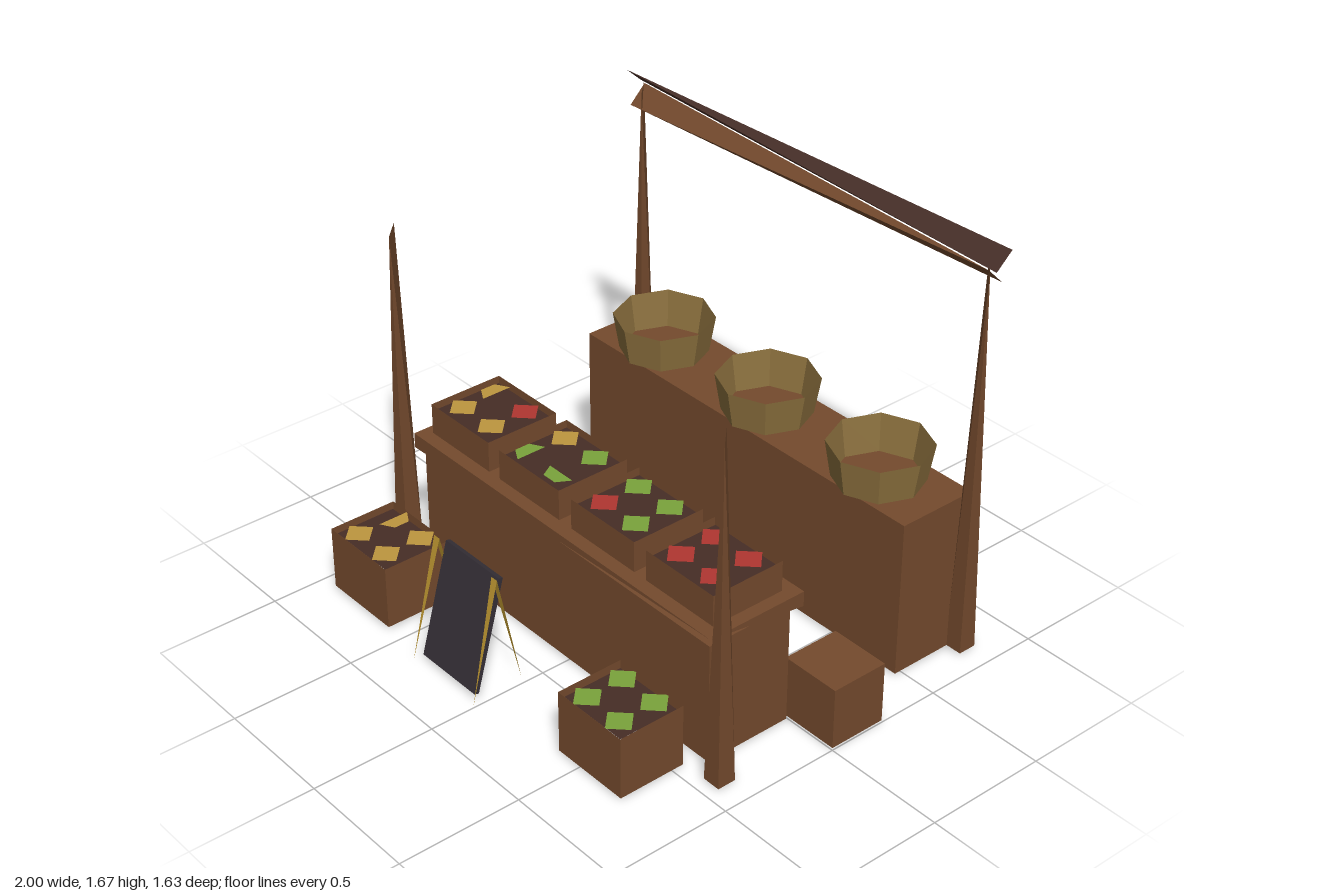
import * as THREE from 'three';
import { ConvexGeometry } from 'three/addons/geometries/ConvexGeometry.js';

const material = (name, color, side = THREE.DoubleSide) =>
  new THREE.MeshStandardMaterial({ name, color, side, flatShading: true });

export function createModel() {
  const wood = material('wood brown', 0x744a2d);
  const darkWood = material('dark wood', 0x462d26);
  const wicker = material('wicker', 0x8a6f3d);
  const red = material('red fruit', 0xb03631);
  const green = material('green fruit', 0x7aa33b);
  const yellow = material('yellow fruit', 0xbd963e);
  const slate = material('slate', 0x352f36);
  const gold = material('gold frame', 0xb8922f);

  const model = new THREE.Group();
  model.name = 'marketStall';

  function add(name, geometry, mat, x = 0, y = 0, z = 0, parent = model) {
    const mesh = new THREE.Mesh(geometry, mat);
    mesh.name = name;
    mesh.position.set(x, y, z);
    parent.add(mesh);
    return mesh;
  }
  const hull = (points) => new ConvexGeometry(points.map((p) => new THREE.Vector3(...p)));

  // Bottomless box given by its limits, with or without a lid
  function shell(name, x0, x1, y0, y1, z0, z1, lid, parent = model) {
    const g = new THREE.BoxGeometry(x1 - x0, y1 - y0, z1 - z0);
    const index = Array.from(g.index.array);
    const faces = lid ? [0, 1, 2, 4, 5] : [0, 1, 4, 5];
    g.setIndex(faces.flatMap((f) => index.slice(f * 6, f * 6 + 6)));
    g.clearGroups();
    return add(name, g, wood, (x0 + x1) / 2, (y0 + y1) / 2, (z0 + z1) / 2, parent);
  }

  // Posts: square foot narrowing to a diagonal ridge
  function post(name, x, z, h) {
    const r = 0.038;
    add(name, hull([
      [-r, 0, -r], [r, 0, -r], [r, 0, r], [-r, 0, r], [-r, h, -r], [r, h, r],
    ]), wood, x, 0.01, z);
  }
  for (const [side, x] of [['right', -0.94], ['left', 0.87]]) {
    post(side + 'FrontPost', x, 0.413, 1.4);
    post(side + 'BackPost', x, -0.77, 1.6);
  }

  // Twisted beams: each end is one slanted edge, crossing the other end's
  function beam(name, mat, x0, x1, y0, y1, z0, z1, flip) {
    const [a, b] = flip ? [z1, z0] : [z0, z1];
    add(name, hull([[x0, y0, a], [x0, y1, b], [x1, y0, b], [x1, y1, a]]), mat);
  }
  beam('roofBoard', darkWood, -1, 0.93, 1.612, 1.675, -0.81, -0.74, false);
  beam('crossBeam', wood, -0.97, 0.9, 1.54, 1.61, -0.805, -0.735, true);

  // Counters
  shell('frontCounter', -0.845, 0.775, 0.01, 0.51, 0.012, 0.382, true);
  shell('backCounter', -0.905, 0.84, 0.01, 0.66, -0.805, -0.465, true);
  const [x0, x1, z0, z1] = [-0.875, 0.808, -0.02, 0.408];
  add('counterTop', hull([
    [x0, 0.57, z0], [x1, 0.57, z0], [x1, 0.57, z1], [x0, 0.57, z1],
    [x0, 0.508, z1], [x1, 0.508, z0],
  ]), wood);
  shell('sideBox', 0.75, 1, 0.01, 0.262, -0.24, 0, true);

  // Wicker baskets without floors
  for (const x of [-0.628, -0.035, 0.56]) {
    add('basket', new THREE.CylinderGeometry(0.2, 0.175, 0.15, 8, 1, true), wicker, x, 0.735, -0.615);
  }

  // Crate of fruit; each fruit is [material, start of arc, arc], a half arc being a cut fruit
  function crate(name, x, z, y0, y1, w, d, fruits) {
    const group = new THREE.Group();
    group.name = name;
    model.add(group);
    shell('crateWalls', x - w, x + w, y0, y1, z - d, z + d, false, group);
    const bed = new THREE.PlaneGeometry(2 * w - 0.035, 2 * d - 0.03).rotateX(-Math.PI / 2);
    add('crateBed', bed, darkWood, x, y1 - 0.018, z, group);
    fruits.forEach(([mat, start = 0, arc = 2 * Math.PI], i) => {
      const g = new THREE.CircleGeometry(0.064, arc < 4 ? 2 : 4, start, arc).rotateX(-Math.PI / 2);
      add('fruit', g, mat, x + (i % 2 ? 0.086 : -0.086), y1 - 0.004, z + (i < 2 ? -0.08 : 0.076), group);
    });
  }
  const P = Math.PI;
  const R = [red], G = [green], Y = [yellow];
  const counterCrates = [
    [-0.657, [[yellow, P / 2, P], R, Y, Y]],
    [-0.246, [Y, G, [green, P / 2, P], [green, P, P]]],
    [0.171, [G, G, R, G]],
    [0.583, [R, R, R, R]],
  ];
  for (const [x, fruits] of counterCrates) {
    crate('counterCrate', x, 0.195, 0.571, 0.697, 0.174, 0.158, fruits);
  }
  crate('rightGroundCrate', -0.75, 0.632, 0.01, 0.272, 0.173, 0.142, [[yellow, -P / 2, P], Y, Y, Y]);
  crate('leftGroundCrate', 0.561, 0.597, 0.01, 0.268, 0.168, 0.14, [G, G, G, G]);

  // Slate board leaning back in an A-frame
  const board = add('slateBoard', new THREE.BoxGeometry(0.31, 0.47, 0.02), slate, -0.19, 0.247, 0.711);
  board.rotation.x = -0.27;
  for (const [x, s] of [[-0.355, 1], [-0.017, -1]]) {
    const legs = new THREE.BufferGeometry();
    legs.setAttribute('position', new THREE.Float32BufferAttribute([
      -0.016, 0.5, 0.69, -0.012 * s, 0, 0.812, 0.016, 0.5, 0.69,
      0.016, 0.5, 0.69, 0.012 * s, 0, 0.575, -0.016, 0.5, 0.69,
    ], 3));
    legs.computeVertexNormals();
    add('boardLegs', legs, gold, x);
  }
  return model;
}
